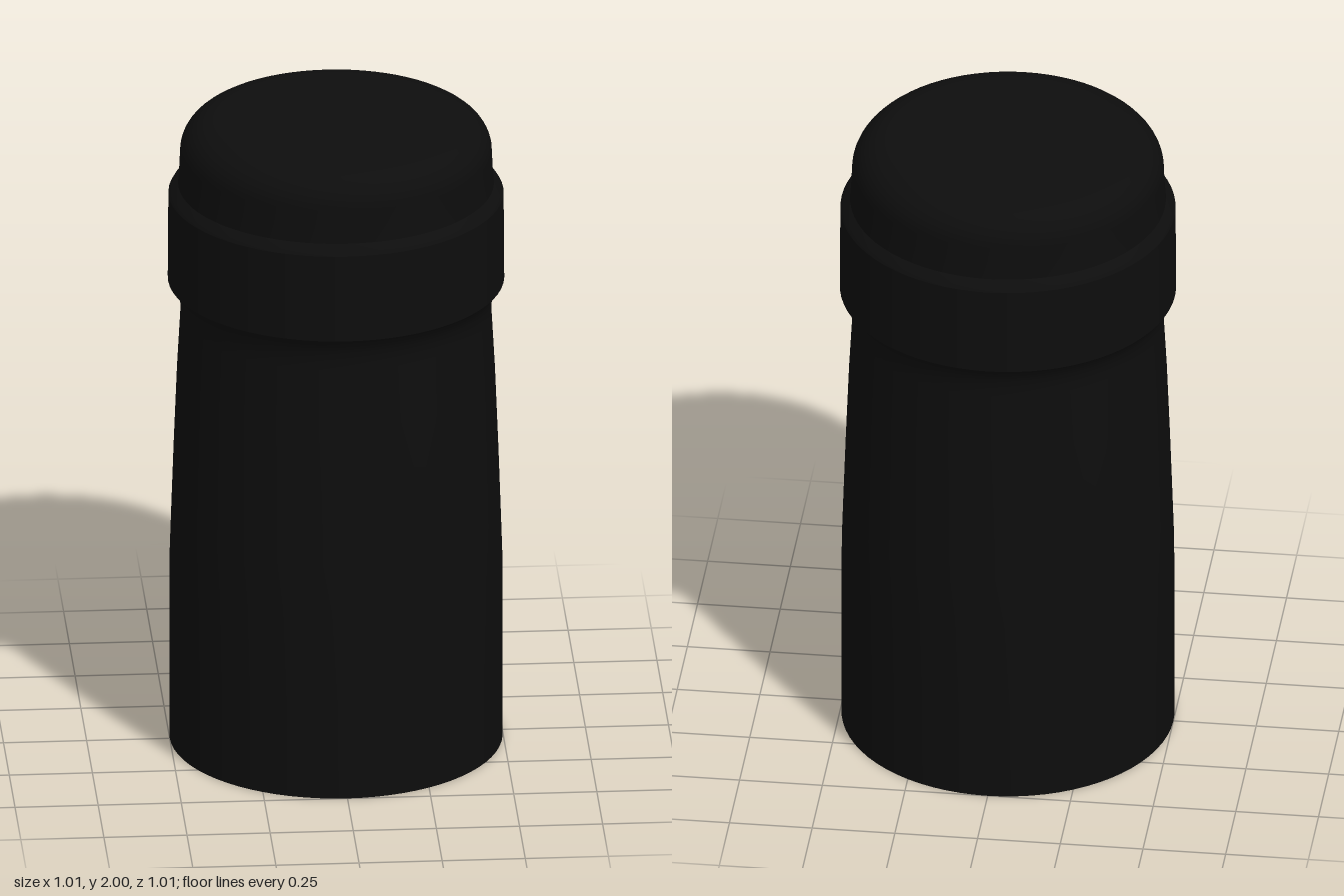
import * as THREE from 'three';

const SEGMENTS = 72;

export function createModel() {
  const black = new THREE.MeshStandardMaterial({ color: 0x0d0d0d, side: THREE.DoubleSide });
  black.name = 'black';
  const model = new THREE.Group();
  model.name = 'cap';

  // Each part is a smooth turned band; edges between parts stay sharp.
  const turned = (name, profile) => {
    const points = profile.map(([r, y]) => new THREE.Vector2(r, y));
    const mesh = new THREE.Mesh(new THREE.LatheGeometry(points, SEGMENTS), black);
    mesh.name = name;
    model.add(mesh);
  };

  // Hollow sleeve, open at the bottom, tapering and then flaring under the collar
  turned('sleeve', [
    [0.5, 0], [0.5, 0.3], [0.499, 0.6], [0.494, 0.75], [0.487, 0.95],
    [0.477, 1.2], [0.467, 1.38], [0.467, 1.41], [0.472, 1.44], [0.483, 1.468], [0.505, 1.49],
  ]);

  // Raised collar with a chamfered upper edge
  turned('collar', [[0.505, 1.49], [0.504, 1.63], [0.503, 1.765]]);
  turned('collarChamfer', [[0.503, 1.765], [0.496, 1.777], [0.474, 1.795]]);

  // Closed top with a rounded shoulder
  const top = [[0.474, 1.795], [0.47, 1.85], [0.468, 1.9]];
  for (let i = 1; i <= 10; i++) {
    const a = (i / 10) * Math.PI / 2;
    top.push([0.368 + 0.1 * Math.cos(a), 1.9 + 0.1 * Math.sin(a)]);
  }
  top.push([0.2, 2], [0, 2]);
  turned('top', top);

  return model;
}
